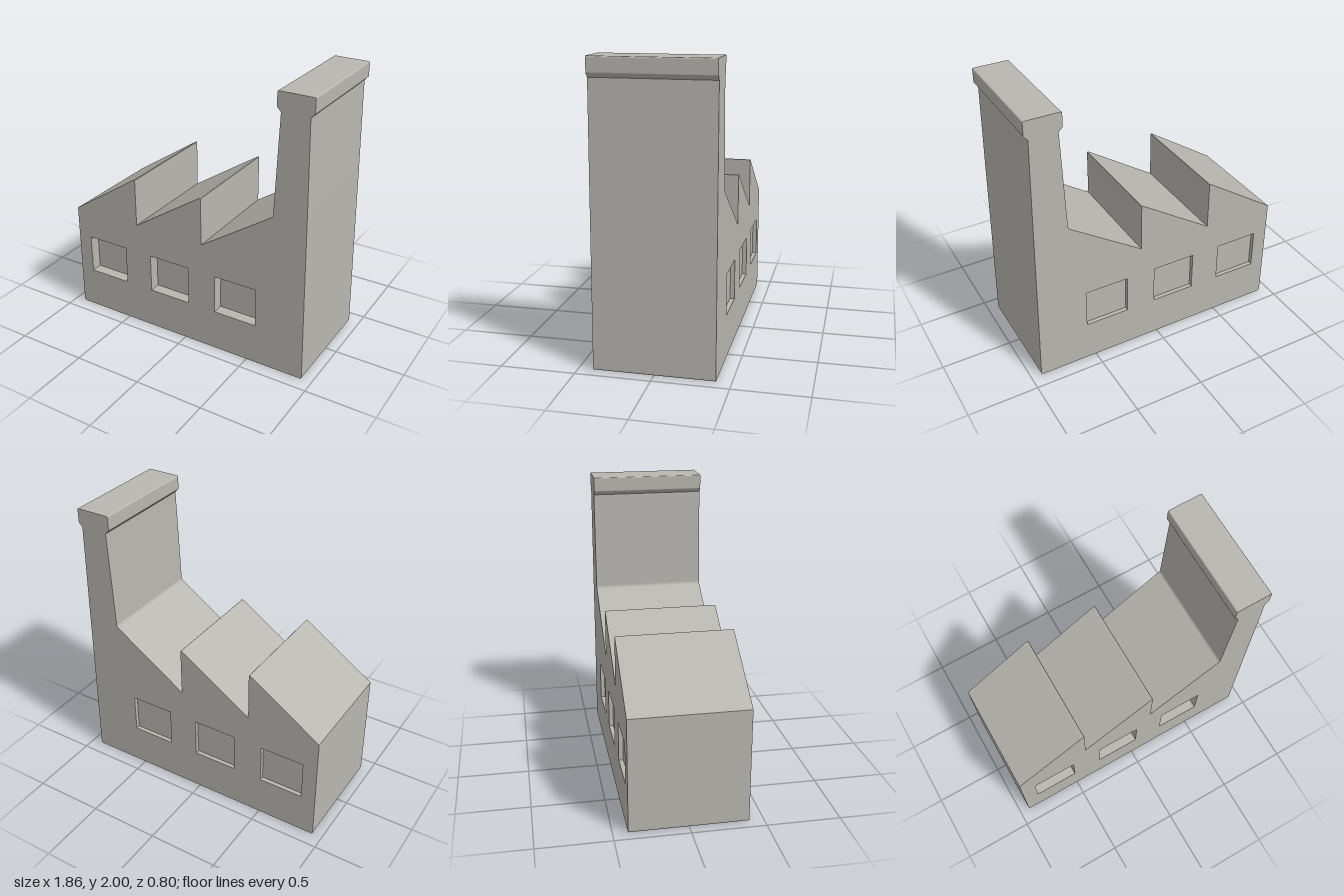
import * as THREE from 'three';

const HALF_DEPTH = 0.4;
const FRONT_RECESS = 0.08;
const BACK_RECESS = 0.03;

// Saw-tooth factory outline with the tapering chimney, counter-clockwise
function outline() {
  const s = new THREE.Shape();
  s.moveTo(-0.915, 0);
  s.lineTo(0.912, 0);
  s.quadraticCurveTo(0.925, 0, 0.925, 0.015);
  // chimney outer side, neck and cap
  [[0.915, 0.62], [0.906, 1.24], [0.895, 1.87], [0.918, 1.895]].forEach(([x, y]) => s.lineTo(x, y));
  s.quadraticCurveTo(0.922, 1.899, 0.922, 1.906);
  s.lineTo(0.922, 1.99);
  s.quadraticCurveTo(0.922, 2, 0.912, 2);
  s.lineTo(0.682, 2);
  s.quadraticCurveTo(0.672, 2, 0.672, 1.99);
  s.lineTo(0.672, 1.906);
  s.quadraticCurveTo(0.672, 1.899, 0.676, 1.895);
  s.lineTo(0.7, 1.87);
  s.lineTo(0.671, 1.175);
  s.quadraticCurveTo(0.67, 1.162, 0.66, 1.154);
  // roof teeth: valley, then rounded peak
  for (const x of [0.134, -0.401]) {
    s.lineTo(x, 0.8);
    s.lineTo(x, 1.142);
    s.quadraticCurveTo(x, 1.156, x - 0.016, 1.146);
  }
  s.lineTo(-0.93, 0.8);
  s.lineTo(-0.93, 0.015);
  s.quadraticCurveTo(-0.93, 0, -0.915, 0);
  return s;
}

// Outline with the three window openings cut out
function outlineWithWindows() {
  const s = outline();
  for (const x of [-0.825, -0.291, 0.243]) {
    const hole = new THREE.Path();
    hole.moveTo(x, 0.3);
    hole.lineTo(x, 0.583);
    hole.lineTo(x + 0.318, 0.583);
    hole.lineTo(x + 0.318, 0.3);
    hole.closePath();
    s.holes.push(hole);
  }
  return s;
}

export function createModel() {
  const group = new THREE.Group();
  group.name = 'factory';
  const stone = new THREE.MeshStandardMaterial({ color: 0xb8b6b0 });
  stone.name = 'warm grey';

  function slab(name, shape, z0, z1) {
    const geometry = new THREE.ExtrudeGeometry(shape, {
      depth: z1 - z0, bevelEnabled: false, curveSegments: 4,
    });
    geometry.translate(0, 0, z0);
    const mesh = new THREE.Mesh(geometry, stone);
    mesh.name = name;
    group.add(mesh);
  }

  // Solid core closes the window recesses of the two outer walls
  slab('core', outline(), -HALF_DEPTH + BACK_RECESS, HALF_DEPTH - FRONT_RECESS);
  slab('frontWall', outlineWithWindows(), HALF_DEPTH - FRONT_RECESS, HALF_DEPTH);
  slab('backWall', outlineWithWindows(), -HALF_DEPTH, -HALF_DEPTH + BACK_RECESS);
  return group;
}
